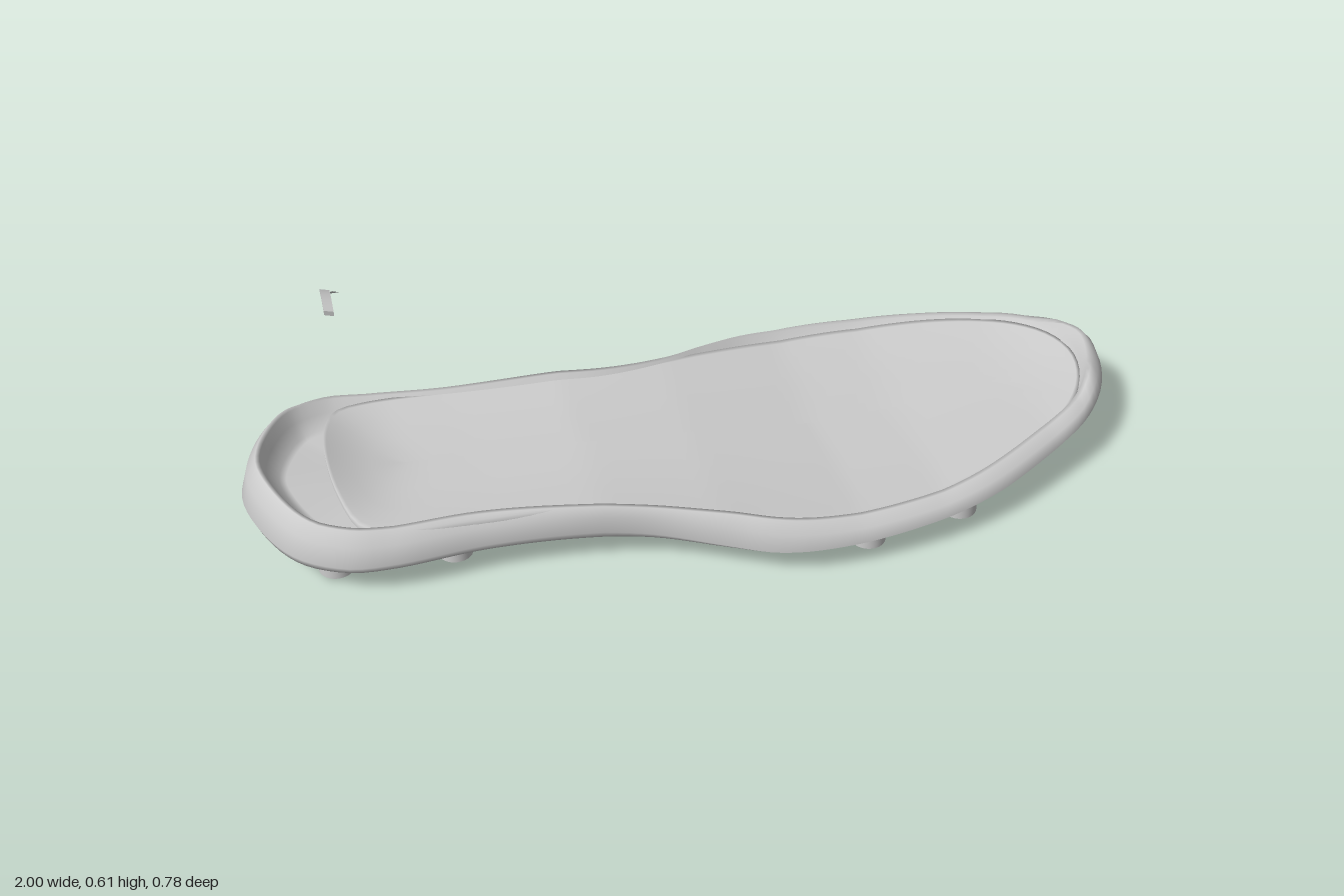
import * as THREE from 'three';

const grey = new THREE.MeshStandardMaterial({ color: 0xcccccc, side: THREE.DoubleSide });
grey.name = 'lightGrey';

// Piecewise lookup through [position, value] pairs
function curve(pairs) {
  return (t) => {
    if (t <= pairs[0][0]) return pairs[0][1];
    for (let i = 1; i < pairs.length; i++) {
      const [a, va] = pairs[i - 1], [b, vb] = pairs[i];
      if (t <= b) return THREE.MathUtils.lerp(va, vb, (t - a) / (b - a));
    }
    return pairs[pairs.length - 1][1];
  };
}

const baseY = curve([[-1, 0.062], [0.3, 0.062], [0.5, 0.069], [0.65, 0.081], [0.8, 0.099], [0.92, 0.119], [1, 0.137]]);
const bulge = curve([[-1, 0.045], [-0.8, 0.033], [-0.25, 0.035], [0.1, 0.014], [0.8, 0.014], [1, 0.022]]);
const spineZ = curve([[-1, -0.055], [-0.6, -0.045], [-0.2, -0.01], [0.2, 0], [0.6, -0.02], [1, -0.04]]);
const rimLine = curve([[-0.95, 0.2], [-0.85, 0.175], [-0.7, 0.162], [-0.5, 0.16], [-0.25, 0.162],
  [0, 0.147], [0.3, 0.121], [0.5, 0.12], [0.8, 0.148], [0.9, 0.165], [0.94, 0.192], [1, 0.195]]);
const hump = (x, at, width) => Math.exp(-(((x - at) / width) ** 2));
// Rim height: higher on the inner arch, the outer waist and the toe tip
const rimY = (x, z) => rimLine(x)
  + (z < 0 ? 0.012 * hump(x, -0.25, 0.25) : 0.008 * hump(x, 0.04, 0.13))
  + 0.018 * hump(z, -0.055, 0.06) * hump(x, 1, 0.1);
const rimInset = (x) => 0.04 - 0.03 * hump(x, -0.2, 0.28) - 0.01 * hump(x, 1, 0.1);

// Closed outline seen from above, with outward directions
function outline(points, count) {
  const path = new THREE.CatmullRomCurve3(points.map(([x, z]) => new THREE.Vector3(x, 0, z)), true);
  return Array.from({ length: count }, (_, i) => {
    const p = path.getPointAt(i / count), t = path.getTangentAt(i / count);
    return { x: p.x, z: p.z, nx: -t.z, nz: t.x };
  });
}
const inset = (p, d) => [p.x - p.nx * d, p.z - p.nz * d];
const toSpine = ([x, z], f) => {
  const sx = x * 0.8;
  return [x + (sx - x) * f, z + (spineZ(sx) - z) * f];
};

// Skin a stack of closed rings
function loft(rings, name) {
  const n = rings[0].length, index = [];
  for (let j = 0; j < rings.length - 1; j++) {
    for (let i = 0; i < n; i++) {
      const a = j * n + i, b = j * n + ((i + 1) % n);
      index.push(a, b, b + n, a, b + n, a + n);
    }
  }
  const g = new THREE.BufferGeometry();
  g.setAttribute('position', new THREE.Float32BufferAttribute(rings.flat(2), 3));
  g.setIndex(index);
  g.computeVertexNormals();
  return named(new THREE.Mesh(g, grey), name);
}
function named(object, name) {
  object.name = name;
  return object;
}

// Outsole shell: underside, rounded side wall, rim and inner cup
function buildOutsole() {
  const o = outline([[-1, -0.06], [-0.965, 0.07], [-0.9, 0.165], [-0.8, 0.217], [-0.7, 0.227], [-0.5, 0.215],
    [-0.3, 0.23], [-0.15, 0.262], [0, 0.328], [0.1, 0.37], [0.2, 0.387], [0.4, 0.377], [0.6, 0.33], [0.8, 0.23],
    [0.9, 0.165], [0.97, 0.075], [1, -0.04], [0.97, -0.14], [0.9, -0.235], [0.8, -0.3], [0.6, -0.367],
    [0.4, -0.392], [0.22, -0.378], [0.1, -0.338], [0, -0.293], [-0.15, -0.26], [-0.3, -0.268], [-0.5, -0.298],
    [-0.7, -0.33], [-0.8, -0.33], [-0.9, -0.285], [-0.965, -0.19]], 180);
  const ring = (d, y, f = 0) => o.map((p) => {
    const [x, z] = toSpine(inset(p, typeof d === 'function' ? d(p.x) : d), f);
    return [x, y(x, z), z];
  });
  const floor = (x, z) => Math.max(baseY(x) + 0.015, rimY(x, z) - 0.055);
  return loft([
    ring(0.05, baseY, 1), ring(0.05, baseY, 0.5), ring(0.05, baseY), ring(0.03, (x) => baseY(x) + 0.001),
    ring(0.01, (x) => baseY(x) + bulge(x) * 0.4),
    ring(0, (x) => baseY(x) + bulge(x)),
    ring((x) => rimInset(x) * 0.4, (x, z) => THREE.MathUtils.lerp(baseY(x) + bulge(x), rimY(x, z), 0.6)),
    ring(rimInset, rimY),
    ring((x) => rimInset(x) + 0.01, rimY),
    ring((x) => rimInset(x) + 0.02, (x, z) => rimY(x, z) - 0.03),
    ring((x) => rimInset(x) + 0.045, floor),
    ring((x) => rimInset(x) + 0.06, floor),
    ring((x) => rimInset(x) + 0.06, floor, 1),
  ], 'outsole');
}

// Insole: dished sheet with a raised lip at the heel end
function buildInsole() {
  const o = outline([[-0.81, -0.06], [-0.797, 0.07], [-0.76, 0.16], [-0.68, 0.19], [-0.5, 0.197], [-0.3, 0.213],
    [-0.15, 0.243], [0, 0.292], [0.15, 0.335], [0.3, 0.336], [0.5, 0.31], [0.7, 0.238], [0.85, 0.15], [0.92, 0.06],
    [0.943, -0.04], [0.915, -0.135], [0.83, -0.225], [0.7, -0.282], [0.5, -0.317], [0.3, -0.315], [0.1, -0.288],
    [0, -0.267], [-0.2, -0.247], [-0.5, -0.264], [-0.7, -0.268], [-0.765, -0.245], [-0.795, -0.18]], 150);
  const edge = curve([[-0.8, 0.155], [-0.5, 0.155], [-0.25, 0.16], [0, 0.146], [0.3, 0.115], [0.5, 0.114],
    [0.8, 0.141], [0.94, 0.165]]);
  const top = (x, z, f) => {
    const lift = Math.max(0, (-0.64 - x) / 0.17) ** 1.6 * 0.043;
    return edge(x) - 0.01 * f + lift * Math.max(0, 1 - ((z + 0.05) / 0.24) ** 2);
  };
  const ring = (f, drop = 0) => o.map((p) => {
    const [x, z] = toSpine([p.x, p.z], f);
    return [x, top(x, z, Math.min(1, f * 2)) - drop, z];
  });
  return loft([ring(0, 0.015), ring(0), ring(0.04), ring(0.12), ring(0.3), ring(0.6), ring(1)], 'insole');
}

// Studs run from their tip up into the underside
function stud(geometry, x, z, tip, turn, name) {
  const h = baseY(x) + 0.012 - tip;
  const m = named(new THREE.Mesh(geometry, grey), name);
  m.scale.y = h;
  m.position.set(x, tip + h / 2, z);
  m.rotation.y = turn;
  return m;
}
function buildStuds() {
  const g = named(new THREE.Group(), 'studs');
  const round = new THREE.CylinderGeometry(0.04, 0.04, 1, 32);
  [[-0.56, 0.108, 0], [-0.82, 0.108, 0.011], [-0.82, -0.19, 0.011], [-0.56, -0.195, 0.01],
    [0.335, 0.295, 0.005], [0.56, 0.262, 0.016], [0.765, 0.135, 0.039]]
    .forEach(([x, z, y]) => g.add(stud(round, x, z, y, 0, 'roundStud')));
  // x, z, tip, length, width, turn
  [[0.76, -0.235, 0.042, 0.1, 0.045, -0.35], [0.5, -0.295, 0.02, 0.1, 0.05, -0.2],
    [0.6, -0.04, 0.016, 0.08, 0.07, -0.78], [0.23, -0.25, 0.012, 0.09, 0.05, 0.35],
    [0.32, -0.013, 0.003, 0.095, 0.055, 1.3]]
    .forEach(([x, z, y, l, w, t]) => g.add(stud(new THREE.BoxGeometry(l, 1, w), x, z, y, t, 'blockStud')));
  return g;
}

// Small loose scraps floating above the heel
function buildScraps() {
  const g = named(new THREE.Group(), 'heelScraps');
  const strip = new THREE.BoxGeometry(0.02, 0.011, 0.08, 1, 1, 8);
  const p = strip.attributes.position;
  for (let i = 0; i < p.count; i++) p.setY(i, p.getY(i) - 6 * p.getZ(i) ** 2 - 0.3 * p.getX(i));
  strip.computeVertexNormals();
  const arc = named(new THREE.Mesh(strip, grey), 'curvedScrap');
  arc.position.set(-0.763, 0.605, -0.055);
  const tri = new THREE.BufferGeometry();
  tri.setAttribute('position', new THREE.Float32BufferAttribute(
    [-0.76, 0.535, -0.173, -0.73, 0.54, -0.166, -0.745, 0.55, -0.159], 3));
  tri.computeVertexNormals();
  g.add(arc, named(new THREE.Mesh(tri, grey), 'flatScrap'));
  return g;
}

export function createModel() {
  const model = named(new THREE.Group(), 'studdedSole');
  model.add(buildOutsole(), buildInsole(), buildStuds(), buildScraps());
  return model;
}
